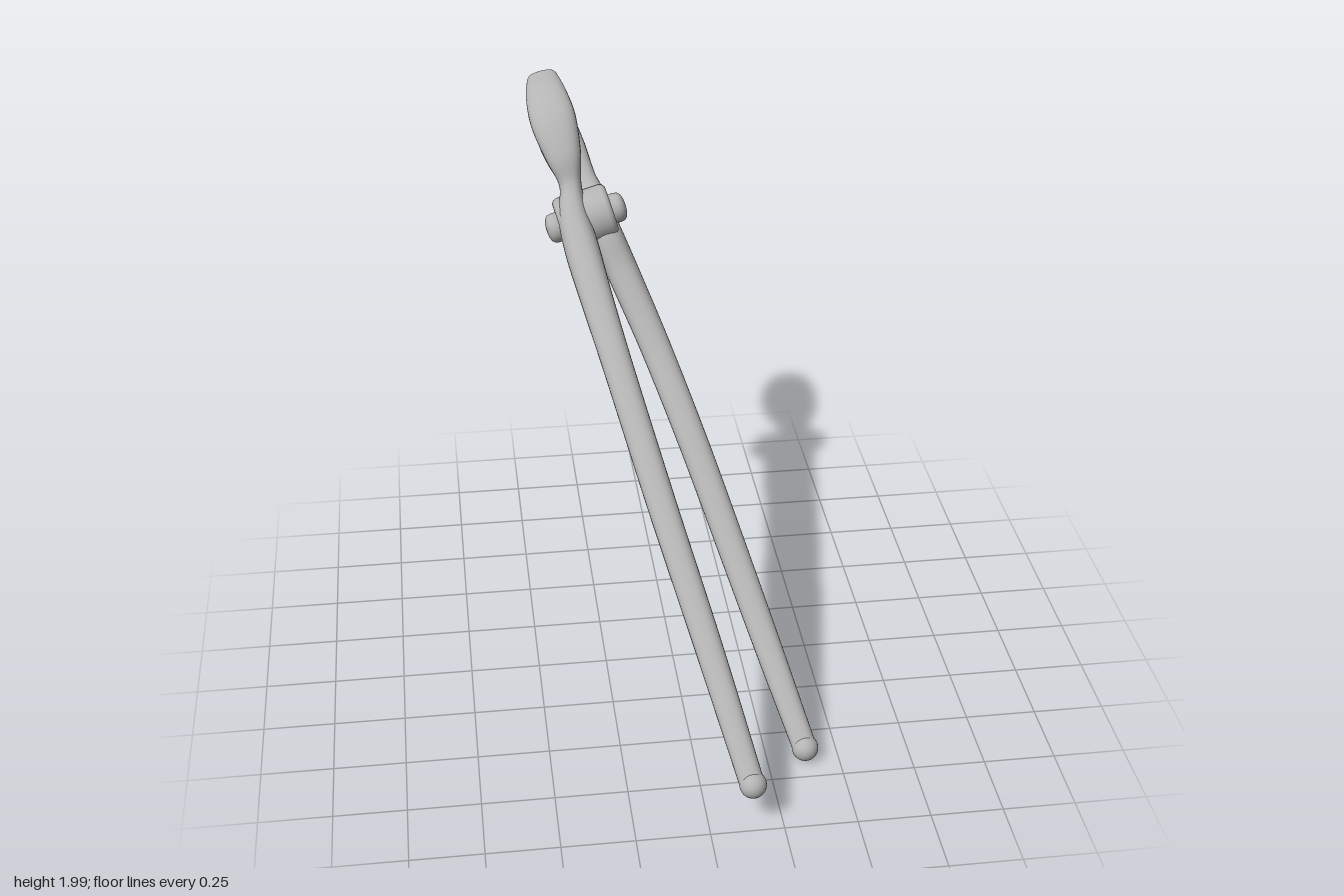
import * as THREE from 'three';

const steel = new THREE.MeshStandardMaterial({ color: 0xb4b4b4 });
steel.name = 'steel';

// Rivet axis, also the flat-side direction of both levers
const AXIS = new THREE.Vector3(0.96, 0.26, -0.06).normalize();
const PIVOT = new THREE.Vector3(-0.243, 1.55, -0.572);
const SIDES = 24;

// Sweep a soft-cornered oval along points [x, y, z, halfThickness, halfWidth]
function sweep(points, steps) {
  const path = new THREE.CatmullRomCurve3(
    points.map(p => new THREE.Vector3(p[0], p[1], p[2])), false, 'catmullrom', 0.5);
  const size = new THREE.CatmullRomCurve3(
    points.map(p => new THREE.Vector3(p[3], p[4], 0)), false, 'catmullrom', 0.5);
  const pos = [], index = [];
  let rings = 0;

  const ring = (t, shift, scale) => {
    const T = path.getTangent(t);
    const c = path.getPoint(t).addScaledVector(T, shift);
    const s = size.getPoint(t);
    const N = AXIS.clone().addScaledVector(T, -AXIS.dot(T)).normalize();
    const S = new THREE.Vector3().crossVectors(T, N);
    const soft = v => Math.sign(v) * Math.pow(Math.abs(v), 0.82);
    for (let j = 0; j < SIDES; j++) {
      const a = j / SIDES * Math.PI * 2;
      const v = c.clone()
        .addScaledVector(N, soft(Math.cos(a)) * s.x * scale)
        .addScaledVector(S, soft(Math.sin(a)) * s.y * scale);
      pos.push(v.x, v.y, v.z);
    }
    rings++;
  };

  // Rounded start, body, rounded tip
  const caps = [0.02, 0.4, 0.7, 0.9];
  const bulge = k => Math.sqrt(1 - k * k) * 0.025;
  caps.forEach(k => ring(0, -bulge(k), k));
  for (let i = 0; i <= steps; i++) ring(i / steps, 0, 1);
  caps.slice().reverse().forEach(k => ring(1, bulge(k), k));

  for (let i = 0; i < rings - 1; i++) {
    for (let j = 0; j < SIDES; j++) {
      const a = i * SIDES + j, b = i * SIDES + (j + 1) % SIDES;
      index.push(a, b, b + SIDES, a, b + SIDES, a + SIDES);
    }
  }
  const g = new THREE.BufferGeometry();
  g.setAttribute('position', new THREE.Float32BufferAttribute(pos, 3));
  g.setIndex(index);
  g.computeVertexNormals();
  return g;
}

function part(parent, name, geometry) {
  const m = new THREE.Mesh(geometry, steel);
  m.name = name;
  parent.add(m);
  return m;
}

// Turned part on the rivet axis, profile given as [radius, height]
function turned(parent, name, profile, offset, flip) {
  const g = new THREE.LatheGeometry(profile.map(p => new THREE.Vector2(p[0], p[1])), 32);
  const m = part(parent, name, g);
  const dir = AXIS.clone().multiplyScalar(flip ? -1 : 1);
  m.quaternion.setFromUnitVectors(new THREE.Vector3(0, 1, 0), dir);
  m.position.copy(PIVOT).addScaledVector(AXIS, offset);
}

export function createModel() {
  const model = new THREE.Group();
  model.name = 'tongs';

  // Lever running from the front handle to the upper jaw
  const upper = new THREE.Group();
  upper.name = 'upperLever';
  part(upper, 'upperHandleAndJaw', sweep([
    [0.145, 0.16, 0.945, 0.042, 0.036],
    [0.04, 0.50, 0.61, 0.048, 0.041],
    [-0.07, 0.84, 0.27, 0.051, 0.045],
    [-0.178, 1.19, -0.085, 0.053, 0.047],
    [-0.235, 1.375, -0.29, 0.058, 0.051],
    [-0.267, 1.485, -0.43, 0.062, 0.066],
    [-0.288, 1.575, -0.535, 0.055, 0.07],
    [-0.292, 1.67, -0.597, 0.04, 0.05],
    [-0.312, 1.77, -0.635, 0.065, 0.05],
    [-0.338, 1.87, -0.71, 0.082, 0.047],
    [-0.355, 1.93, -0.81, 0.074, 0.04],
    [-0.362, 1.962, -0.9, 0.056, 0.028],
  ], 110));

  // Lever running from the rear handle to the lower jaw
  const lower = new THREE.Group();
  lower.name = 'lowerLever';
  part(lower, 'lowerHandleAndJaw', sweep([
    [0.38, 0.05, 0.645, 0.042, 0.036],
    [0.29, 0.30, 0.41, 0.048, 0.041],
    [0.203, 0.545, 0.19, 0.051, 0.045],
    [0.09, 0.86, -0.08, 0.053, 0.047],
    [-0.02, 1.14, -0.315, 0.055, 0.05],
    [-0.115, 1.36, -0.476, 0.058, 0.062],
    [-0.175, 1.5, -0.565, 0.058, 0.075],
    [-0.205, 1.585, -0.67, 0.046, 0.055],
    [-0.25, 1.617, -0.78, 0.065, 0.047],
    [-0.295, 1.70, -0.877, 0.08, 0.045],
    [-0.34, 1.82, -0.938, 0.074, 0.037],
    [-0.365, 1.91, -0.964, 0.056, 0.024],
  ], 110));

  // Rounded knobs at the handle ends
  [[upper, 0.148, 0.158, 0.95], [lower, 0.382, 0.048, 0.65]].forEach(([g, x, y, z]) => {
    part(g, 'handleKnob', new THREE.SphereGeometry(0.046, 24, 16)).position.set(x, y, z);
  });

  // Joint discs, side by side on the rivet
  const disc = [[0, -0.05], [0.095, -0.05], [0.1, -0.04], [0.1, 0.03],
    [0.096, 0.042], [0.086, 0.05], [0, 0.05]];
  turned(upper, 'upperJointDisc', disc, -0.048, true);
  turned(lower, 'lowerJointDisc', disc, 0.05, false);

  // Domed rivet with a head on both sides
  const rivet = new THREE.Group();
  rivet.name = 'rivet';
  const head = [[0, -0.04], [0.052, -0.04], [0.054, 0.02], [0.051, 0.034],
    [0.042, 0.044], [0.025, 0.05], [0, 0.052]];
  turned(rivet, 'rightRivetHead', head, -0.095, true);
  turned(rivet, 'leftRivetHead', head, 0.1, false);

  model.add(upper, lower, rivet);
  return model;
}
